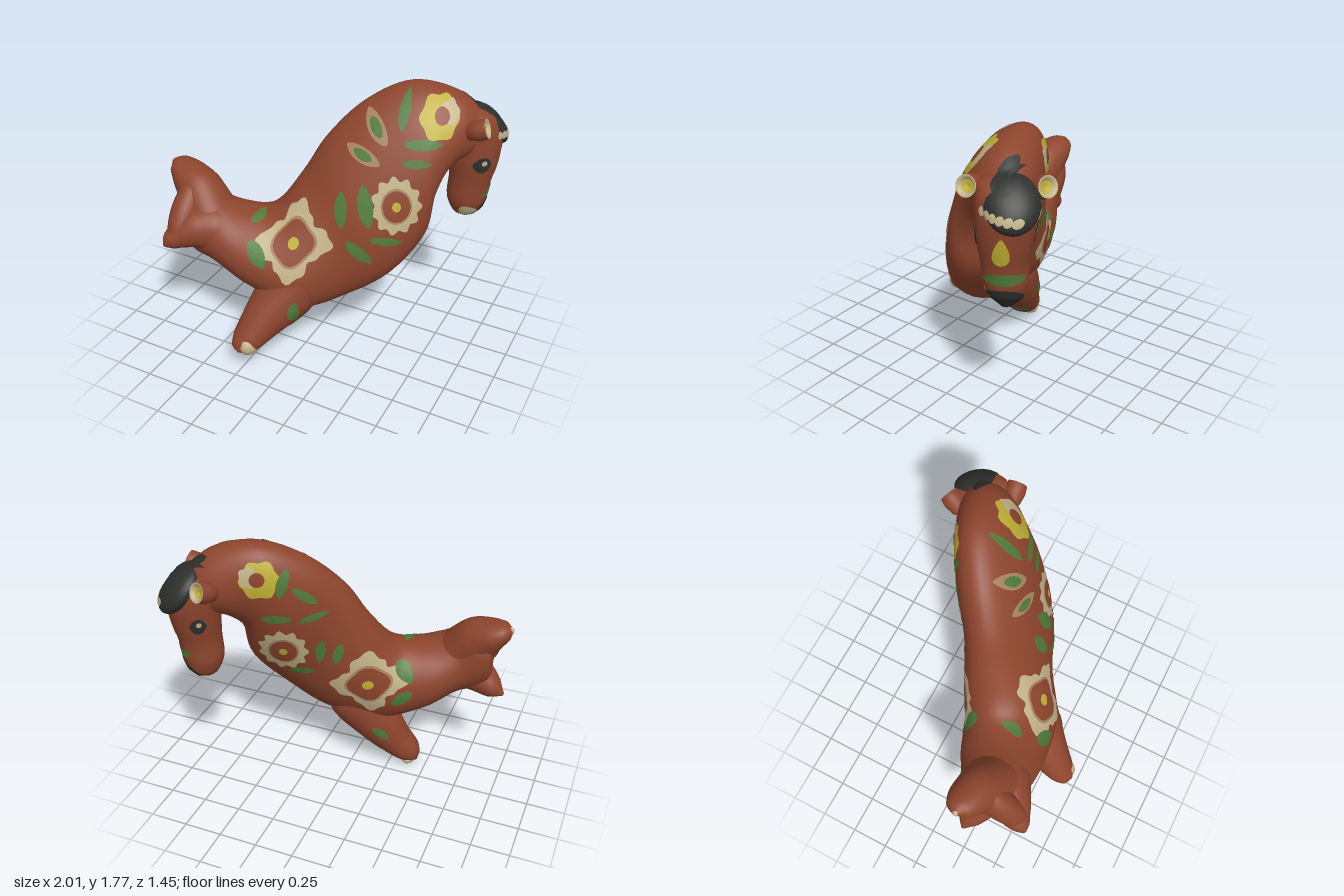
import * as THREE from 'three';

const V = (x, y, z) => new THREE.Vector3(x, y, z);
const paint = (name, color) => {
  const m = new THREE.MeshStandardMaterial({ color, side: THREE.DoubleSide });
  m.name = name;
  return m;
};
const curve = pts => new THREE.CatmullRomCurve3(pts);

// Closed skin through rings; ring(t) gives centre c, side axis A, depth axis B and egg shape
function skinRings(ring, steps, around) {
  const pos = [], idx = [];
  for (let i = 0; i <= steps; i++) {
    const { c, A, B, egg = 0 } = ring(i / steps);
    for (let j = 0; j < around; j++) {
      const q = j / around * Math.PI * 2, s = Math.sin(q);
      const p = c.clone().addScaledVector(A, Math.cos(q) * (1 + egg * s)).addScaledVector(B, s);
      pos.push(p.x, p.y, p.z);
      if (i === steps) continue;
      const a = i * around + j, b = i * around + (j + 1) % around;
      idx.push(a, b, a + around, b, b + around, a + around);
    }
  }
  const n = pos.length / 3, e = steps * around;
  for (const t of [0, 1]) pos.push(...ring(t).c.toArray());
  for (let j = 0; j < around; j++) {
    const k = (j + 1) % around;
    idx.push(n, k, j, n + 1, e + j, e + k);
  }
  const g = new THREE.BufferGeometry();
  g.setAttribute('position', new THREE.Float32BufferAttribute(pos, 3));
  g.setIndex(idx);
  g.computeVertexNormals();
  return g;
}

// Limb through rows of [x, y, z, half width along side, half depth]
function limb(rows, side) {
  const path = curve(rows.map(r => V(r[0], r[1], r[2]))), size = curve(rows.map(r => V(r[3], r[4], 0)));
  return skinRings(t => {
    const c = path.getPoint(t), T = path.getTangent(t), s = size.getPoint(t);
    const B = T.clone().cross(side).normalize(), A = B.clone().cross(T);
    return { c, A: A.multiplyScalar(s.x), B: B.multiplyScalar(s.y) };
  }, 40, 32);
}

// Trunk through rows of [ridge x, y, z, belly x, y, z, half width], turning from side0 to side1
function trunk(rows, side0, side1) {
  const ridge = curve(rows.map(r => V(r[0], r[1], r[2]))), belly = curve(rows.map(r => V(r[3], r[4], r[5])));
  const width = curve(rows.map((r, i) => V(r[6], i, 0)));
  return skinRings(t => {
    const a = ridge.getPoint(t), b = belly.getPoint(t);
    return {
      c: a.clone().lerp(b, 0.5), A: side0.clone().lerp(side1, t).setLength(width.getPoint(t).x),
      B: b.sub(a).multiplyScalar(0.5), egg: 0.1
    };
  }, 80, 44);
}

export function createModel() {
  const root = new THREE.Group();
  root.name = 'clayFishTailedHorse';
  const clay = paint('terracotta', 0x8d452d), pale = paint('cream', 0xc2b289), tan = paint('tan', 0xa7835f);
  const green = paint('leafGreen', 0x4f7a38), yellow = paint('yellow', 0xc0b035), black = paint('charcoal', 0x2e302d);
  const add = (name, geo, mat, parent = root) => {
    const m = new THREE.Mesh(geo, mat);
    m.name = name;
    parent.add(m);
    return m;
  };
  const ball = (name, mat, at, scale) => {
    const m = add(name, new THREE.SphereGeometry(1, 28, 20), mat);
    m.position.set(...at);
    m.scale.set(...scale);
    return m;
  };

  // Body from tail root to poll, then the hanging head
  add('body', trunk([
    [-0.87, 0.96, 0.28, -0.87, 0.88, 0.32, 0.03], [-0.84, 1.08, 0.23, -0.83, 0.7, 0.36, 0.14],
    [-0.74, 1.1, 0.24, -0.75, 0.63, 0.36, 0.19], [-0.6, 1.02, 0.28, -0.62, 0.6, 0.34, 0.23],
    [-0.43, 0.96, 0.23, -0.4, 0.46, 0.29, 0.28], [-0.27, 0.97, 0.16, -0.05, 0.33, 0.21, 0.3],
    [-0.12, 1.19, 0.03, 0.24, 0.43, 0.07, 0.275], [0, 1.42, -0.06, 0.48, 0.61, -0.02, 0.265],
    [0.2, 1.65, -0.21, 0.645, 0.88, -0.17, 0.26], [0.45, 1.77, -0.36, 0.655, 1.12, -0.24, 0.235],
    [0.7, 1.72, -0.46, 0.68, 1.26, -0.37, 0.2], [0.82, 1.61, -0.53, 0.78, 1.33, -0.47, 0.14],
    [0.87, 1.5, -0.56, 0.86, 1.44, -0.53, 0.03]
  ], V(0.3, 0, 0.95), V(0.65, 0, 0.76)), clay);
  const headSide = V(0.63, 0, 0.78).normalize(), face = V(0.78, 0, -0.63).normalize();
  add('head', limb([
    [0.79, 1.63, -0.51, 0.02, 0.02], [0.8, 1.56, -0.51, 0.16, 0.11], [0.82, 1.42, -0.52, 0.17, 0.165],
    [0.82, 1.28, -0.51, 0.16, 0.155], [0.81, 1.12, -0.5, 0.135, 0.135], [0.8, 1, -0.5, 0.13, 0.13],
    [0.81, 0.91, -0.51, 0.1, 0.1], [0.83, 0.85, -0.52, 0.02, 0.02]
  ], headSide), clay);

  // Front legs with painted hooves
  add('nearLeg', limb([
    [0.02, 0.68, 0.14, 0.16, 0.16], [-0.04, 0.57, 0.23, 0.21, 0.22], [-0.1, 0.45, 0.34, 0.195, 0.19],
    [-0.18, 0.31, 0.5, 0.14, 0.14], [-0.23, 0.21, 0.63, 0.1, 0.085], [-0.24, 0.18, 0.69, 0.065, 0.05],
    [-0.24, 0.17, 0.715, 0.01, 0.01]
  ], V(1, 0, 0)), clay);
  add('farLeg', limb([
    [0.05, 0.62, 0.05, 0.14, 0.16], [-0.02, 0.52, 0.06, 0.18, 0.2], [-0.15, 0.36, 0.08, 0.155, 0.17],
    [-0.28, 0.19, 0.12, 0.12, 0.12], [-0.37, 0.1, 0.14, 0.095, 0.09], [-0.41, 0.045, 0.15, 0.06, 0.05],
    [-0.43, 0.02, 0.15, 0.01, 0.01]
  ], V(0, 0, 1)), clay);
  ball('nearHoof', pale, [-0.205, 0.195, 0.645], [0.062, 0.07, 0.072]);
  ball('farHoof', pale, [-0.38, 0.048, 0.145], [0.05, 0.048, 0.085]);

  // Fish tail: three lobes joined by a web
  add('tailUpperLobe', limb([
    [-0.48, 0.78, 0.3, 0.1, 0.08], [-0.63, 0.88, 0.31, 0.18, 0.15], [-0.77, 1.02, 0.27, 0.15, 0.15],
    [-0.88, 1.1, 0.24, 0.12, 0.1], [-0.95, 1.14, 0.23, 0.08, 0.06], [-0.99, 1.16, 0.23, 0.01, 0.01]
  ], V(0, 0, 1)), clay);
  add('tailNearLobe', limb([
    [-0.42, 0.74, 0.27, 0.1, 0.1], [-0.6, 0.82, 0.36, 0.17, 0.17], [-0.7, 0.83, 0.45, 0.14, 0.14],
    [-0.77, 0.8, 0.53, 0.09, 0.1], [-0.81, 0.77, 0.59, 0.055, 0.055], [-0.83, 0.75, 0.62, 0.01, 0.01]
  ], V(0, 1, 0)), clay);
  add('tailFarLobe', limb([
    [-0.6, 0.8, 0.32, 0.16, 0.16], [-0.78, 0.74, 0.29, 0.12, 0.12], [-0.9, 0.68, 0.26, 0.075, 0.07],
    [-0.97, 0.65, 0.25, 0.01, 0.01]
  ], V(0, 0, 1)), clay);
  ball('tailWeb', clay, [-0.77, 0.93, 0.41], [0.1, 0.26, 0.12]).rotation.x = -0.75;
  ball('tailTipSpot', pale, [-0.975, 1.15, 0.23], [0.022, 0.025, 0.022]);

  // Forelock lying on the forehead
  const lock = ball('forelock', black, [0.865, 1.49, -0.585], [0.15, 0.175, 0.08]);
  lock.rotation.set(-0.76, Math.atan2(0.78, -0.63), 0, 'YXZ');

  root.updateMatrixWorld(true);
  const skin = [...root.children];

  // Cupped ears
  const lathe = pts => new THREE.LatheGeometry(pts.map(p => new THREE.Vector2(...p)), 24);
  for (const [name, at, dir] of [
    ['nearEar', V(0.9, 1.545, -0.34), V(0.9, 0.32, -0.1)], ['farEar', V(0.67, 1.535, -0.655), V(0.35, 0.32, -0.85)]
  ]) {
    const ear = new THREE.Group();
    ear.name = name;
    add('earShell', lathe([[0.001, -0.13], [0.055, -0.08], [0.068, -0.01], [0.062, 0.04]]), clay, ear);
    add('earRim', lathe([[0.062, 0.04], [0.05, 0.042], [0.036, 0.022]]), pale, ear);
    add('earInside', lathe([[0.036, 0.022], [0.001, 0.012]]), yellow, ear);
    ear.position.copy(at);
    ear.quaternion.setFromUnitVectors(V(0, 1, 0), dir.normalize());
    root.add(ear);
  }

  // Painted patch: an outline thrown onto the skin from direction n, at (h, y) seen that way
  const up = V(0, 1, 0), ray = new THREE.Raycaster();
  function patch(name, mat, n, h, y, outline, lift = 0.004, rings = 4, around = 32) {
    const ex = up.clone().cross(n), pos = [], idx = [], depth = [];
    for (let i = 0; i <= rings; i++) for (let j = 0; j < around; j++) {
      const [a, b] = outline(j / around * Math.PI * 2).map(v => v * i / rings);
      ray.set(n.clone().multiplyScalar(3).addScaledVector(ex, h + a).addScaledVector(up, y + b), n.clone().negate());
      const hit = ray.intersectObjects(skin, false)[0], p = V(0, 0, 0);
      depth.push(hit ? hit.distance : NaN);
      if (hit) p.copy(hit.face.normal).transformDirection(hit.object.matrixWorld).multiplyScalar(lift).add(hit.point);
      pos.push(p.x, p.y, p.z);
    }
    const tri = (...t) => {
      const d = t.map(k => depth[k]), far = Math.max(...d);
      if (far - Math.min(...d) < 0.08 && far - depth[0] < 0.25) idx.push(...t);
    };
    for (let i = 0; i < rings; i++) for (let j = 0; j < around; j++) {
      const a = i * around + j, b = i * around + (j + 1) % around;
      if (i) tri(a, b + around, b);
      tri(a, a + around, b + around);
    }
    if (!idx.length) return;
    const g = new THREE.BufferGeometry();
    g.setAttribute('position', new THREE.Float32BufferAttribute(pos, 3));
    g.setIndex(idx);
    g.computeVertexNormals();
    add(name, g, mat);
  }
  const leafShape = (len, wid, deg) => q => {
    const a = Math.cos(q) * len / 2, b = Math.sin(q) * Math.abs(Math.sin(q)) ** 0.4 * wid / 2, t = deg * Math.PI / 180;
    return [a * Math.cos(t) - b * Math.sin(t), a * Math.sin(t) + b * Math.cos(t)];
  };
  const bloom = (r, wave = 0, lobes = 0, turn = 0, sx = 0.88) => q => {
    const k = r * (1 + wave * Math.cos(lobes * (q - turn)));
    return [k * Math.cos(q) * sx, k * Math.sin(q)];
  };
  const leaf = (n, h, y, len, wid, deg, mat = green, lift = 0.004) =>
    patch('leaf', mat, n, h, y, leafShape(len, wid, deg), lift);

  // Three flowers on each flank
  const front = V(0, 0, 1), back = V(0, 0, -1), right = V(1, 0, 0);
  const flank = V(0.45, 0, 0.89).normalize();
  for (const [n, m, a, b, c] of [
    [front, flank, [0.45, 1.13], [-0.025, 0.85], [0.7, 1.62]],
    [back, flank.clone().negate(), [-0.44, 1.04], [0.17, 0.78], [-0.56, 1.58]]
  ]) {
    patch('daisyPetals', pale, m, ...a, bloom(0.165, 0.09, 11), 0.003, 6, 88);
    patch('daisyShade', tan, m, ...a, bloom(0.108), 0.005);
    patch('daisyCentre', clay, m, ...a, bloom(0.095), 0.007);
    patch('daisyEye', yellow, m, ...a, bloom(0.03), 0.009, 2);
    patch('starPetals', pale, n, ...b, q => bloom(0.195 + 0.012 * Math.cos(12 * q), 0.2, 4, 1.67, 0.98)(q), 0.003, 6, 64);
    patch('starShade', tan, n, ...b, bloom(0.135, 0.08, 4, 1.67, 0.98), 0.005);
    patch('starCentre', clay, n, ...b, bloom(0.12, 0.08, 4, 1.67, 0.98), 0.007);
    patch('starEye', yellow, n, ...b, bloom(0.034, 0, 0, 0, 1), 0.009, 2);
    const s = Math.sign(n.z);
    patch('rosePetals', yellow, m, ...c, bloom(0.115, 0.08, 6, 0, 1), 0.003, 5);
    patch('roseTip', pale, m, c[0] + 0.065 * s, c[1] + 0.025, bloom(0.062, 0.1, 5), 0.005);
    patch('roseCentre', clay, m, c[0] + 0.015 * s, c[1] + 0.01, bloom(0.045, 0, 0, 0, 1), 0.007);
  }

  // Leaves on the near flank, far flank and legs
  for (const l of [
    [0.47, 1.65, 0.21, 0.065, -80], [0.62, 1.485, 0.21, 0.06, 0], [0.61, 1.38, 0.16, 0.05, 0],
    [0.225, 1.08, 0.22, 0.08, -80], [0.37, 1.12, 0.26, 0.09, -72], [0.51, 0.91, 0.18, 0.055, -8],
    [0.365, 0.83, 0.21, 0.075, -40], [-0.23, 0.77, 0.19, 0.085, -48], [-0.31, 0.935, 0.08, 0.04, 0],
    [0.03, 0.42, 0.15, 0.05, 85]
  ]) leaf(front, ...l);
  for (const l of [
    [-0.27, 1.55, 0.18, 0.06, 80], [-0.16, 1.46, 0.17, 0.05, -45], [-0.32, 1.31, 0.18, 0.06, 0],
    [-0.12, 1.31, 0.16, 0.05, 20], [-0.1, 1.04, 0.18, 0.06, 80], [0, 1.02, 0.16, 0.06, 75],
    [-0.24, 0.86, 0.18, 0.055, 8], [0.37, 0.84, 0.17, 0.08, -50], [0.37, 0.66, 0.16, 0.08, 40],
    [0.23, 0.33, 0.14, 0.06, -50]
  ]) leaf(back, ...l);
  leaf(right, -0.38, 0.32, 0.16, 0.075, 15);
  leaf(right, -0.04, 0.18, 0.11, 0.06, 80);
  for (const [h, y, len, wid, deg] of [[0.33, 1.55, 0.25, 0.09, -42], [0.29, 1.4, 0.25, 0.08, -20]]) {
    leaf(front, h, y, len, wid, deg, tan, 0.003);
    leaf(front, h, y, len * 0.55, wid * 0.65, deg, green, 0.006);
  }

  // Eyes, blaze, noseband, muzzle, mouth, brow band and top of the forelock
  for (const [n, h, y] of [[V(0.93, 0, 0.37).normalize(), 0.7, 1.285], [headSide.clone().negate(), -0.97, 1.285]]) {
    patch('eye', black, n, h, y, leafShape(0.1, 0.11, 0), 0.004);
    patch('eyeGlint', pale, n, h + 0.005, y + 0.015, bloom(0.018), 0.007, 2);
  }
  patch('blaze', yellow, face, -0.15, 1.24, q => [0.042 * Math.cos(q) * (1 - 0.45 * Math.sin(q)), 0.085 * Math.sin(q)]);
  patch('noseband', green, face, -0.135, 1.06, q => [0.12 * Math.cos(q), 0.038 * Math.sin(q)]);
  patch('mouthSide', pale, front, 0.84, 0.92, leafShape(0.11, 0.11, 30), 0.003);
  patch('mouth', pale, right, 0.39, 0.93, leafShape(0.07, 0.09, 0), 0.003);
  patch('muzzle', black, face, -0.135, 0.925, q => [0.112 * Math.cos(q), 0.07 * Math.sin(q)], 0.006, 8);
  patch('forelockTop', black, right, 0.54, 1.62, leafShape(0.18, 0.13, -48));
  for (let i = 0; i < 6; i++)
    patch('browDash', pale, right, 0.48 + i * 0.04, 1.465 - 0.006 * i, bloom(0.025), 0.006, 2, 16);

  return root;
}
